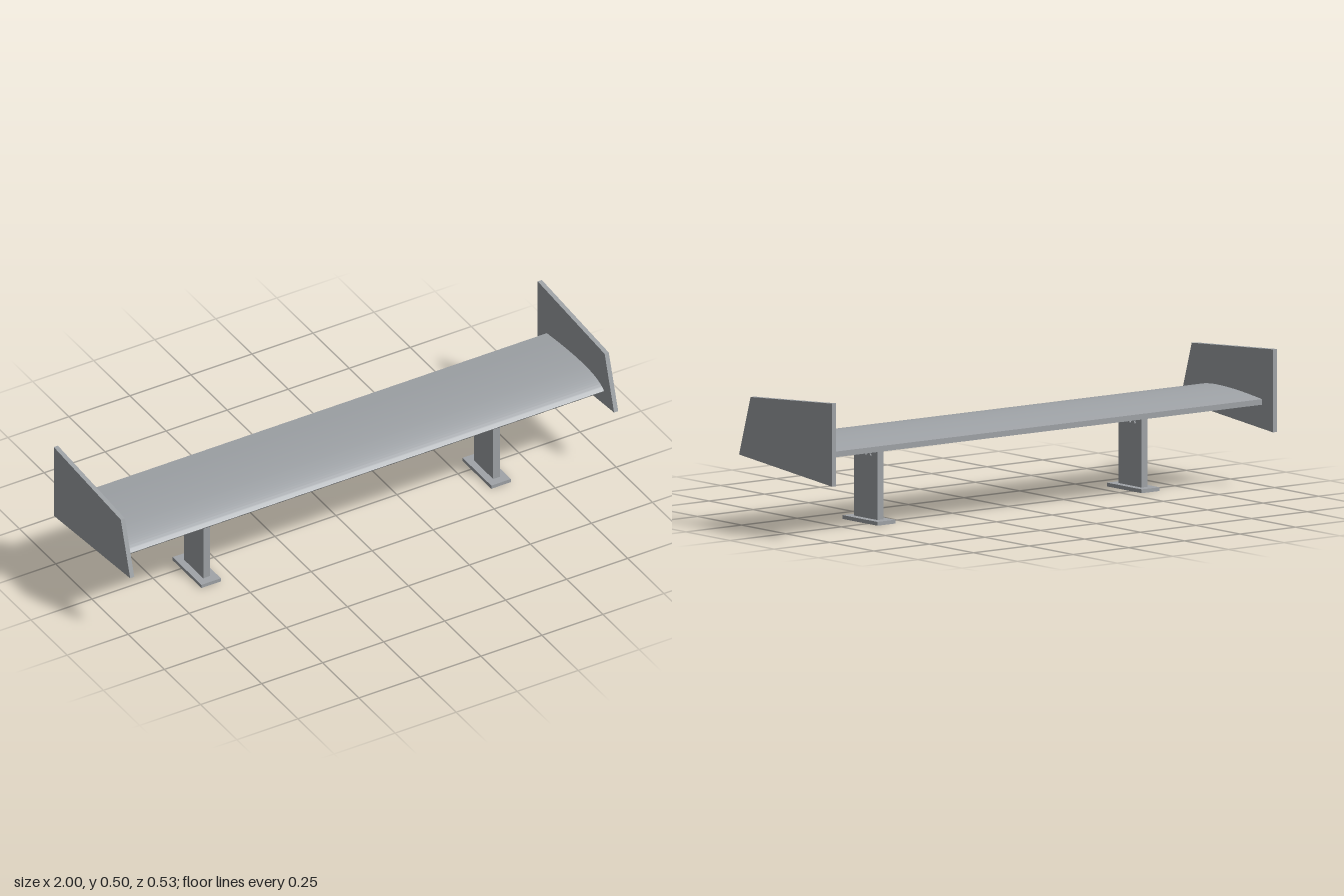
import * as THREE from 'three';
import { toCreasedNormals } from 'three/addons/utils/BufferGeometryUtils.js';

const metal = new THREE.MeshStandardMaterial({ name: 'satin grey', color: 0xa0a4a8 });

// Extrudes a side profile of [z, y] points along x, centred on x = 0
function sideExtrude(shape, width) {
  const geo = new THREE.ExtrudeGeometry(shape, { depth: width, bevelEnabled: false, curveSegments: 24 });
  geo.translate(0, 0, -width / 2);
  geo.rotateY(-Math.PI / 2);
  return toCreasedNormals(geo, 0.5);
}

function add(parent, name, geo, x = 0, y = 0, z = 0) {
  const mesh = new THREE.Mesh(geo, metal);
  mesh.name = name;
  mesh.position.set(x, y, z);
  parent.add(mesh);
  return mesh;
}

export function createModel() {
  const model = new THREE.Group();
  model.name = 'rearWing';

  // Wing blade: flat underside, cambered top, blunt trailing edge
  const v = (z, y) => new THREE.Vector2(z, y);
  const blade = new THREE.Shape();
  blade.moveTo(-0.2, 0.291);
  blade.lineTo(0.192, 0.296);
  blade.lineTo(0.195, 0.301);
  blade.splineThru([
    v(0.175, 0.314), v(0.14, 0.325), v(0.095, 0.331), v(0.04, 0.332),
    v(-0.03, 0.329), v(-0.11, 0.322), v(-0.2, 0.311),
  ]);
  blade.closePath();
  add(model, 'wingBlade', sideExtrude(blade, 1.968));

  // End plates
  const plate = new THREE.Shape([v(0.264, 0.25), v(0.199, 0.463), v(-0.263, 0.496), v(-0.263, 0.2)]);
  const plateGeo = sideExtrude(plate, 0.017);

  // Mounts
  const postGeo = new THREE.BoxGeometry(0.027, 0.297, 0.133);
  const footGeo = new THREE.BoxGeometry(0.08, 0.0135, 0.198);
  const boltGeo = new THREE.CylinderGeometry(0.006, 0.006, 0.008, 12);
  boltGeo.rotateZ(Math.PI / 2);

  for (const side of [-1, 1]) {
    const label = side > 0 ? 'left' : 'right';
    add(model, label + 'EndPlate', plateGeo, side * 0.9915);

    const mount = new THREE.Group();
    mount.name = label + 'Mount';
    mount.position.x = side * 0.594;
    add(mount, 'foot', footGeo, 0, 0.00675, 0.04);
    add(mount, 'post', postGeo, 0, 0.1585, 0.041);
    // Row of bolt heads on one face of the post
    for (const i of [-1, 0, 1]) add(mount, 'bolt', boltGeo, 0.0145, 0.24, 0.042 + i * 0.028);
    model.add(mount);
  }
  return model;
}
